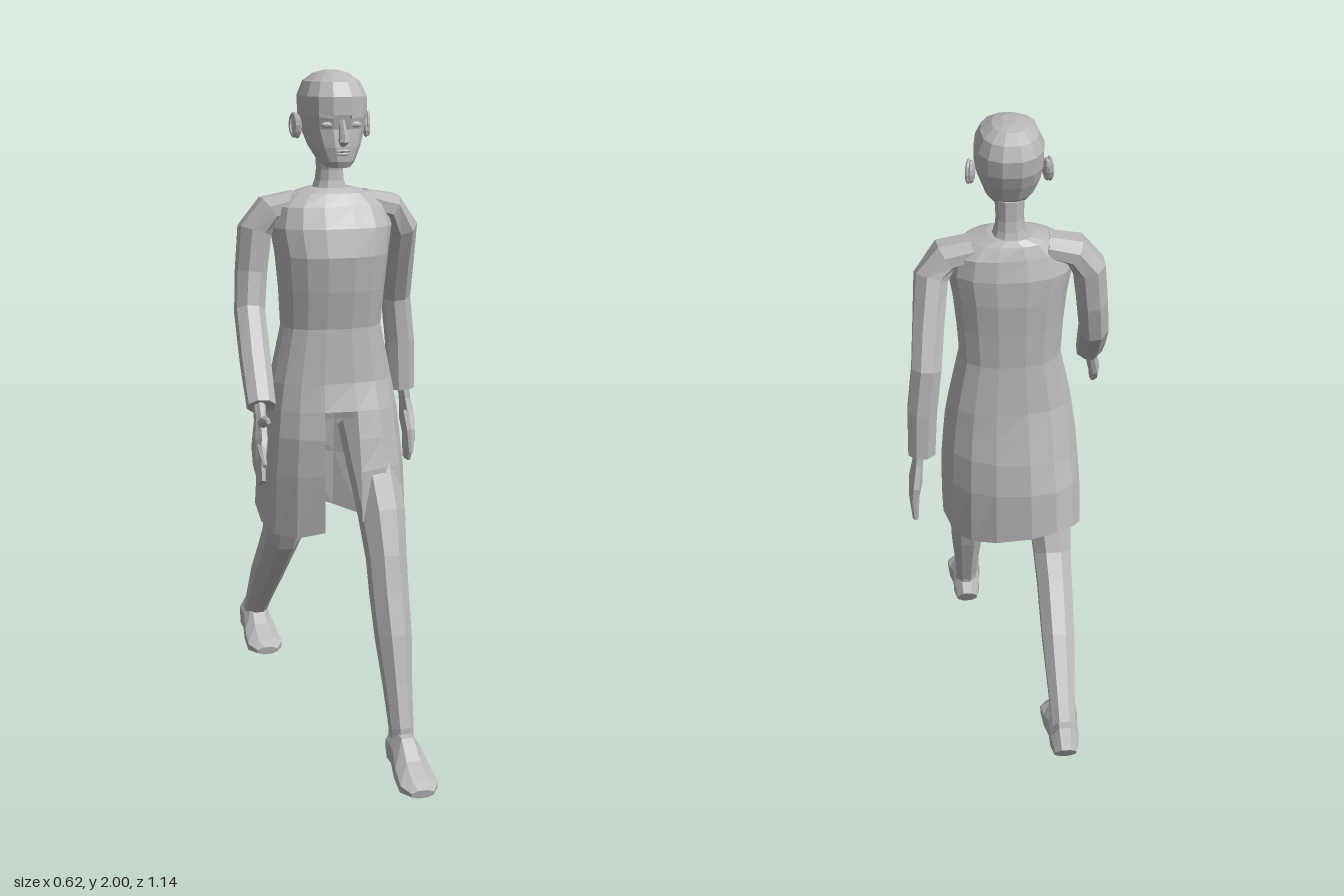
import * as THREE from 'three';

const skin = new THREE.MeshStandardMaterial({ color: 0xb8b8b8, flatShading: true, side: THREE.DoubleSide });
skin.name = 'plain grey';

// Skin a list of equal-length rings; skip(row, column) leaves openings
function loft(name, rings, { capStart = true, capEnd = true, skip = () => false } = {}) {
  const n = rings[0].length, index = [];
  const points = rings.flat();
  for (let i = 0; i < rings.length - 1; i++) {
    for (let j = 0; j < n; j++) {
      if (skip(i, j)) continue;
      const k = (j + 1) % n, a = i * n + j, b = i * n + k;
      index.push(a, b, b + n, a, b + n, a + n);
    }
  }
  const cap = (ring, start, flip) => {
    const centre = ring.reduce((s, p) => s.add(p), new THREE.Vector3()).divideScalar(n);
    const c = points.push(centre) - 1;
    for (let j = 0; j < n; j++) {
      const a = start + j, b = start + (j + 1) % n;
      index.push(c, flip ? b : a, flip ? a : b);
    }
  };
  if (capStart) cap(rings[0], 0, true);
  if (capEnd) cap(rings[rings.length - 1], (rings.length - 1) * n, false);
  const geometry = new THREE.BufferGeometry().setFromPoints(points);
  geometry.setIndex(index);
  geometry.computeVertexNormals();
  const mesh = new THREE.Mesh(geometry, skin);
  mesh.name = name;
  return mesh;
}

// Upright body from rows of [y, half width, front z, back z, skew, hem wave]
function upright(name, rows, n, options) {
  const soft = (v) => Math.sign(v) * Math.abs(v) ** 0.85;
  return loft(name, rows.map(([y, w, zf, zb, skew = 0, wave = 0]) => {
    const mid = (zf + zb) / 2, half = (zf - zb) / 2;
    return Array.from({ length: n }, (_, j) => {
      const a = ((j + 0.5) / n) * Math.PI * 2;
      const sx = soft(Math.sin(a));
      return new THREE.Vector3(w * sx, y + wave * Math.sin(2 * a), mid + half * soft(Math.cos(a)) + skew * sx);
    });
  }), options);
}

// Limb along stations of [x, y, z, radius along ref, radius across]
function limb(name, stations, ref, n = 8, ground = -Infinity) {
  const centres = stations.map((s) => new THREE.Vector3(s[0], s[1], s[2]));
  return loft(name, stations.map((s, i) => {
    const t = centres[Math.min(i + 1, centres.length - 1)].clone().sub(centres[Math.max(i - 1, 0)]).normalize();
    const u = ref.clone().addScaledVector(t, -ref.dot(t)).normalize();
    const v = new THREE.Vector3().crossVectors(t, u);
    return Array.from({ length: n }, (_, j) => {
      const a = ((j + 0.5) / n) * Math.PI * 2;
      const p = centres[i].clone().addScaledVector(u, s[3] * Math.cos(a)).addScaledVector(v, s[4] * Math.sin(a));
      p.y = Math.max(p.y, ground);
      return p;
    });
  }));
}

const X = new THREE.Vector3(1, 0, 0), Z = new THREE.Vector3(0, 0, 1);

function makeFoot(name, x, ground, heel) {
  const profile = [[0, 0.045, 0.035, 0.04], [0.035, 0.065, 0.046, 0.07], [0.09, 0.062, 0.046, 0.065],
    [0.15, 0.035, 0.056, 0.045], [0.215, 0.018, 0.06, 0.028], [0.25, 0.012, 0.036, 0.014]];
  return limb(name, profile.map(([z, y, rx, ry]) => [x, ground + y, heel + z, rx, ry]), X, 8, ground);
}

function makeHead() {
  const head = new THREE.Group();
  head.name = 'head';
  const add = (name, geometry, x, y, z, sx = 1, sy = 1, sz = 1) => {
    const m = new THREE.Mesh(geometry, skin);
    m.name = name;
    m.position.set(x, y, z);
    m.scale.set(sx, sy, sz);
    head.add(m);
    return m;
  };
  head.add(upright('skull', [
    [1.733, 0.032, 0.137, 0.06], [1.75, 0.05, 0.146, 0.0], [1.79, 0.071, 0.147, -0.045],
    [1.84, 0.088, 0.14, -0.072], [1.88, 0.095, 0.15, -0.09], [1.93, 0.095, 0.149, -0.096],
    [1.97, 0.078, 0.122, -0.08], [1.992, 0.048, 0.08, -0.045], [2.0, 0.02, 0.05, -0.01]], 14));
  // Nose and mouth
  head.add(limb('nose', [[0, 1.865, 0.138, 0.008, 0.01], [0, 1.825, 0.152, 0.011, 0.016],
    [0, 1.808, 0.155, 0.015, 0.018], [0, 1.798, 0.148, 0.01, 0.01]], X, 6));
  const ball = new THREE.SphereGeometry(1, 8, 6);
  add('upperLip', ball, 0, 1.781, 0.147, 0.024, 0.005, 0.007);
  add('lowerLip', ball, 0, 1.772, 0.146, 0.02, 0.005, 0.007);
  for (const s of [-1, 1]) {
    add('eye', ball, s * 0.04, 1.853, 0.134, 0.019, 0.009, 0.008);
    add('brow', new THREE.BoxGeometry(0.042, 0.007, 0.012), s * 0.043, 1.876, 0.139).rotation.set(0, s * 0.35, s * 0.12);
    const ear = add('ear', ball, s * 0.102, 1.845, 0.026, 0.011, 0.036, 0.023);
    ear.rotation.set(-0.15, s * -0.3, 0);
    const rim = add('earRim', new THREE.TorusGeometry(0.022, 0.005, 5, 10), s * 0.11, 1.848, 0.024, 0.9, 1.4, 1);
    rim.rotation.y = Math.PI / 2 - s * 0.3;
  }
  return head;
}

export function createModel() {
  const model = new THREE.Group();
  model.name = 'walkingFigure';

  // Tunic from hem to collar, with a slit at the front
  model.add(upright('tunic', [
    [0.69, 0.208, 0.17, -0.165, 0.065, 0.045], [0.85, 0.206, 0.165, -0.15, 0.045, 0.015],
    [0.95, 0.2, 0.155, -0.13, 0.025], [1.03, 0.193, 0.14, -0.11, 0.015],
    [1.11, 0.182, 0.122, -0.095], [1.27, 0.148, 0.117, -0.085], [1.38, 0.155, 0.14, -0.09],
    [1.48, 0.165, 0.153, -0.097], [1.56, 0.178, 0.135, -0.095], [1.62, 0.165, 0.105, -0.08, -0.01],
    [1.655, 0.12, 0.08, -0.065], [1.67, 0.065, 0.06, -0.055]], 16,
  { capStart: false, skip: (i, j) => i < 3 && j === 15 }));

  model.add(upright('neck', [[1.64, 0.062, 0.062, -0.06], [1.69, 0.042, 0.052, -0.045],
    [1.72, 0.039, 0.05, -0.04], [1.78, 0.042, 0.06, -0.04]], 10));
  model.add(makeHead());

  // Left arm swings back
  model.add(limb('leftArm', [
    [0.1, 1.628, 0, 0.06, 0.035], [0.18, 1.607, 0, 0.066, 0.045], [0.222, 1.55, -0.02, 0.06, 0.05],
    [0.235, 1.43, -0.08, 0.05, 0.047], [0.246, 1.32, -0.134, 0.045, 0.045],
    [0.262, 1.18, -0.14, 0.042, 0.045], [0.268, 1.03, -0.142, 0.037, 0.042]], Z));
  model.add(limb('leftHand', [
    [0.275, 1.05, -0.14, 0.022, 0.018], [0.28, 1.0, -0.14, 0.03, 0.016], [0.289, 0.93, -0.14, 0.055, 0.02],
    [0.295, 0.88, -0.142, 0.05, 0.016], [0.293, 0.805, -0.155, 0.03, 0.01]], Z));
  model.add(limb('leftThumb', [[0.283, 0.96, -0.115, 0.018, 0.014], [0.278, 0.91, -0.07, 0.014, 0.012],
    [0.275, 0.845, -0.053, 0.008, 0.008]], X, 6));

  // Right arm swings forward
  model.add(limb('rightArm', [
    [-0.1, 1.628, 0, 0.06, 0.035], [-0.18, 1.607, 0, 0.066, 0.045], [-0.222, 1.55, 0, 0.06, 0.05],
    [-0.235, 1.43, 0.008, 0.052, 0.047], [-0.246, 1.32, 0.035, 0.047, 0.045],
    [-0.258, 1.2, 0.155, 0.041, 0.045], [-0.266, 1.09, 0.262, 0.035, 0.042]], Z));
  model.add(limb('rightHand', [
    [-0.27, 1.1, 0.25, 0.022, 0.018], [-0.276, 1.06, 0.29, 0.03, 0.016], [-0.287, 1.0, 0.33, 0.052, 0.02],
    [-0.295, 0.955, 0.36, 0.045, 0.016], [-0.295, 0.905, 0.39, 0.024, 0.01]], Z));
  model.add(limb('rightFinger', [[-0.288, 1.0, 0.35, 0.014, 0.018], [-0.297, 0.99, 0.4, 0.01, 0.013],
    [-0.3, 0.968, 0.45, 0.006, 0.007]], X, 6));
  model.add(limb('rightThumb', [[-0.278, 1.045, 0.31, 0.014, 0.018], [-0.28, 1.075, 0.36, 0.012, 0.013],
    [-0.284, 1.085, 0.425, 0.007, 0.007]], X, 6));

  // Left leg steps forward, right leg trails
  model.add(limb('leftLeg', [
    [0.1, 0.98, 0.03, 0.08, 0.085], [0.12, 0.72, 0.15, 0.07, 0.075], [0.12, 0.6, 0.2, 0.06, 0.065],
    [0.12, 0.5, 0.23, 0.058, 0.062], [0.122, 0.38, 0.268, 0.054, 0.062],
    [0.122, 0.25, 0.312, 0.043, 0.05], [0.122, 0.13, 0.353, 0.036, 0.042], [0.122, 0.07, 0.358, 0.036, 0.04]], X));
  model.add(makeFoot('leftFoot', 0.122, 0, 0.31));
  model.add(limb('rightLeg', [
    [-0.1, 0.98, 0, 0.08, 0.085], [-0.115, 0.72, -0.05, 0.07, 0.075], [-0.12, 0.6, -0.11, 0.06, 0.066],
    [-0.122, 0.53, -0.18, 0.056, 0.062], [-0.122, 0.42, -0.3, 0.052, 0.056],
    [-0.122, 0.3, -0.42, 0.042, 0.043], [-0.122, 0.21, -0.505, 0.036, 0.038]], X));
  model.add(makeFoot('rightFoot', -0.122, 0.135, -0.557));

  return model;
}
